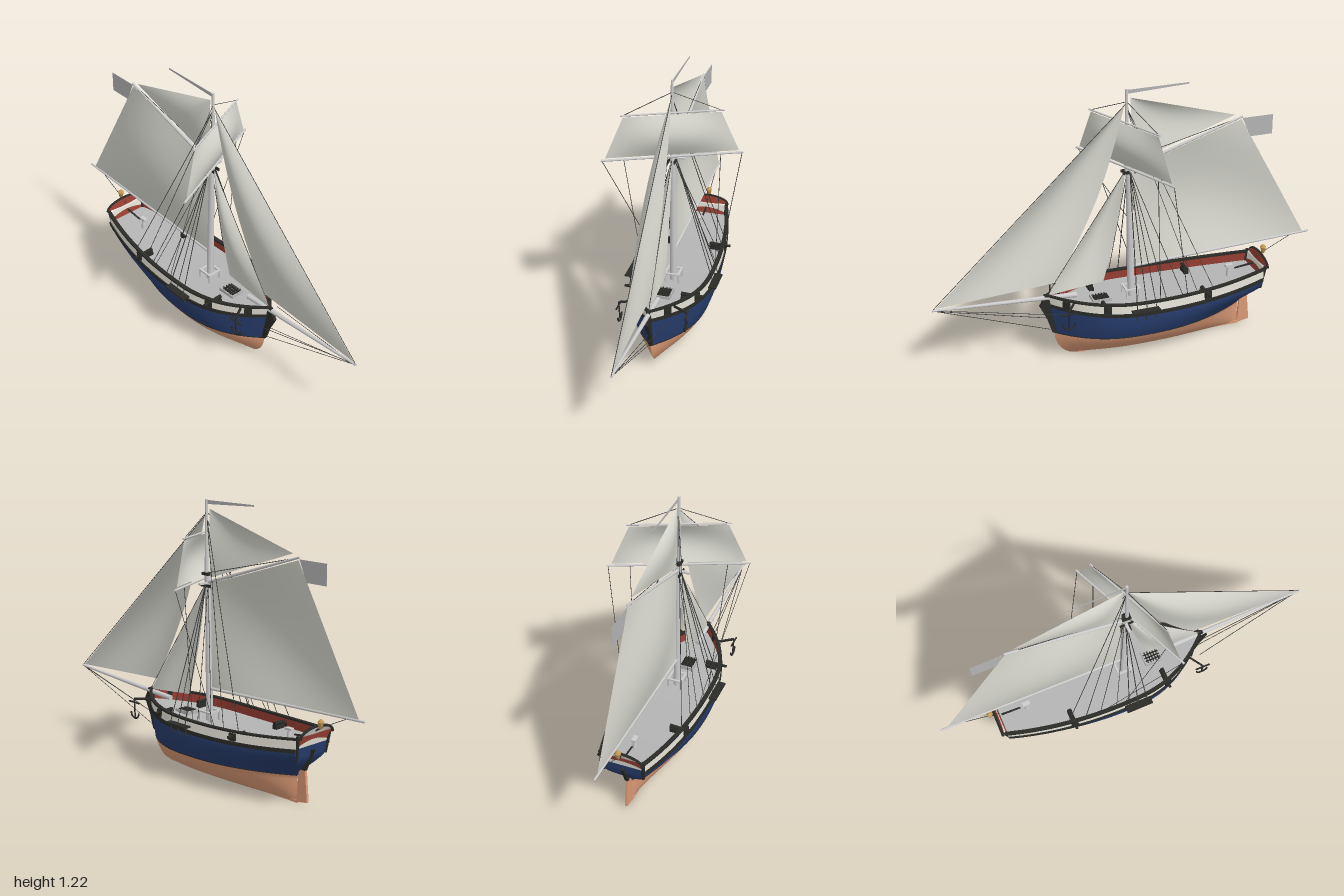
import * as THREE from 'three';

const mat = (color, flat = false) => new THREE.MeshStandardMaterial({ color, side: THREE.DoubleSide, flatShading: flat });
const M = {
  copper: mat(0xdb9a76), blue: mat(0x273c6c), cream: mat(0xe4e1d6), dark: mat(0x2a2a27, true),
  red: mat(0x9a4034), grey: mat(0xcccccc), deck: mat(0xb4b4b4), sail: mat(0xd6d6ce), rope: mat(0x3a3a38), gold: mat(0xc79a55),
};
const V = (x, y, z = 0) => new THREE.Vector3(x, y, z);
const clamp = THREE.MathUtils.clamp, lerp = THREE.MathUtils.lerp;

// Hull form: waterlines between stern and stem at a given level
const beam = l => l < 0.22 ? 0.18 * Math.pow(1 - (1 - l / 0.22) ** 2, 0.62) : 0.18 - 0.1 * (l - 0.22);
const bowX = l => l < 0.12 ? 0.36 + 0.105 * Math.sqrt(1 - (1 - l / 0.12) ** 2) : 0.465 + (l - 0.12) * 0.2;
const sternX = l => -0.42 - 0.072 * THREE.MathUtils.smoothstep(l, 0.11, 0.21) - 0.15 * Math.max(0, l - 0.2);
const sternFull = l => 0.57 * THREE.MathUtils.smoothstep(l, 0.1, 0.23);
const sheer = s => 0.025 * (2 * s - 1) ** 2;
function hullPoint(s, l, side, inset = 0, up = 0) {
  const c = 0.57;
  const plan = s > c ? 1 - ((s - c) / (1 - c)) ** 2.5 : 1 - (1 - sternFull(l)) * ((c - s) / c) ** 2.2;
  return V(lerp(sternX(l), bowX(l), s), l + up + sheer(s) * clamp((l - 0.12) / 0.12, 0, 1),
    side * Math.max(0, beam(l) * plan - inset));
}
const atX = (x, l) => (x - sternX(l)) / (bowX(l) - sternX(l));

// Grid surface from a function of u and v
function surf(nu, nv, f) {
  const pos = [], idx = [];
  for (let i = 0; i <= nu; i++) for (let j = 0; j <= nv; j++) pos.push(...f(i / nu, j / nv).toArray());
  for (let i = 0; i < nu; i++) for (let j = 0; j < nv; j++) {
    const a = i * (nv + 1) + j, b = a + nv + 1;
    idx.push(a, b, a + 1, b, b + 1, a + 1);
  }
  const g = new THREE.BufferGeometry();
  g.setAttribute('position', new THREE.Float32BufferAttribute(pos, 3));
  g.setIndex(idx);
  g.computeVertexNormals();
  return g;
}

export function createModel() {
  const ship = new THREE.Group();
  ship.name = 'sailingShip';
  const add = (name, geo, m, parent = ship) => {
    const mesh = new THREE.Mesh(geo, m);
    mesh.name = name;
    parent.add(mesh);
    return mesh;
  };
  const spar = (name, a, b, r0, r1 = r0, m = M.grey, sides = 10) => {
    const mesh = add(name, new THREE.CylinderGeometry(r1, r0, a.distanceTo(b), sides), m);
    mesh.position.copy(a).lerp(b, 0.5);
    mesh.quaternion.setFromUnitVectors(V(0, 1, 0), b.clone().sub(a).normalize());
    return mesh;
  };
  const rope = (a, b, r = 0.0015) => spar('rope', a, b, r, r, M.rope, 4);
  const box = (name, w, h, d, x, y, z, m) => {
    const mesh = add(name, new THREE.BoxGeometry(w, h, d), m);
    mesh.position.set(x, y, z);
    return mesh;
  };

  // Hull planking, bulwarks and rails
  const band = (name, l0, l1, m, inset, rows) => [1, -1].forEach(side =>
    add(name, surf(48, rows, (u, v) => hullPoint(u, lerp(l0, l1, v), side, inset)), m));
  band('copperBottom', 0, 0.12, M.copper, 0, 14);
  band('blueTopside', 0.12, 0.245, M.blue, 0, 10);
  band('bulwark', 0.245, 0.288, M.cream, 0, 2);
  band('bulwarkLining', 0.24, 0.288, M.red, 0.008, 2);
  const corners = [[-1, -1], [1, -1], [1, 1], [-1, 1], [-1, -1]];
  const moulding = (name, l, w, h, inset) => [1, -1].forEach(side => add(name, surf(48, 4, (u, v) => {
    const [a, b] = corners[Math.round(v * 4)];
    return hullPoint(u, l, side, inset + a * w, b * h);
  }), M.dark));
  moulding('wale', 0.238, 0.005, 0.008, 0);
  moulding('capRail', 0.288, 0.009, 0.004, 0.003);
  moulding('waterlineStrip', 0.12, 0.001, 0.002, 0);
  add('deck', surf(48, 6, (u, v) => hullPoint(u, 0.243, 2 * v - 1, 0.002)
    .setZ(hullPoint(u, 0.243, 1, 0.002).z * (2 * v - 1))), M.deck);

  // Transom and arched taffrail
  const transom = (name, l0, l1, m) => add(name, surf(10, 8, (u, v) => {
    const p = hullPoint(0, lerp(l0, l1, u), 1);
    return p.setZ(p.z * (2 * v - 1));
  }), m);
  transom('lowerTransom', 0, 0.12, M.copper);
  transom('blueTransom', 0.12, 0.245, M.blue);
  transom('upperTransom', 0.245, 0.288, M.cream);
  const edge = hullPoint(0, 0.288, 1);
  const arch = (u, v, dx = 0) => {
    const z = 2 * v - 1;
    return V(edge.x - 0.02 * u + dx, edge.y + u * 0.04 * Math.sqrt(Math.max(0, 1 - z * z)), z * edge.z);
  };
  add('taffrail', surf(4, 24, (u, v) => arch(u, v)), M.cream);
  add('taffrailLining', surf(4, 24, (u, v) => arch(u, v, 0.01).setY(lerp(0.262, arch(1, v).y, u))), M.red);
  const archLine = Array.from({ length: 25 }, (_, i) => arch(1, i / 24, 0.005));
  add('taffrailCap', new THREE.TubeGeometry(new THREE.CatmullRomCurve3(archLine), 40, 0.006, 6), M.dark);
  [1, -1].forEach(s => spar('quarterPost', hullPoint(0, 0.2, s), hullPoint(0, 0.3, s), 0.007, 0.008, M.dark, 6));

  // Stem, keel and rudder plates
  const plate = (name, pts, t, m) => {
    const g = new THREE.ExtrudeGeometry(new THREE.Shape(pts.map(p => new THREE.Vector2(...p))), { depth: t, bevelEnabled: false });
    return add(name, g.translate(0, 0, -t / 2), m);
  };
  plate('stem', [[0.455, 0.12], [0.475, 0.125], [0.495, 0.19], [0.53, 0.262], [0.522, 0.275], [0.505, 0.315], [0.48, 0.315], [0.48, 0.24]], 0.016, M.dark);
  plate('keel', [[-0.425, 0], [0.36, 0], [0.36, 0.012], [-0.425, 0.012]], 0.012, M.copper);
  plate('rudder', [[-0.42, 0.004], [-0.478, 0.014], [-0.465, 0.15], [-0.43, 0.15]], 0.012, M.copper);
  plate('rudderStock', [[-0.465, 0.15], [-0.43, 0.15], [-0.495, 0.25], [-0.51, 0.25]], 0.014, M.dark);

  // Spars
  spar('lowerMast', V(0.105, 0.24), V(0.118, 0.9), 0.016, 0.012);
  spar('topmast', V(0.125, 0.84), V(0.125, 1.215), 0.009, 0.006);
  spar('bowsprit', V(0.36, 0.292), V(1, 0.33), 0.012, 0.005);
  spar('boom', V(0.095, 0.388), V(-0.765, 0.422), 0.007, 0.005);
  spar('gaff', V(0.11, 0.86), V(-0.41, 1.028), 0.008, 0.005);
  const yardPoint = (t, y, ahead = 0) => V(0.128 + 0.44 * t + 0.914 * ahead, y, t - 0.406 * ahead);
  spar('lowerYard', yardPoint(-0.28, 0.872, 0.012), yardPoint(0.28, 0.872, 0.012), 0.005);
  spar('upperYard', yardPoint(-0.2, 1.073, 0.012), yardPoint(0.2, 1.073, 0.012), 0.004);
  box('mastCap', 0.04, 0.012, 0.03, 0.12, 0.895, 0, M.dark);
  box('crosstreeBeam', 0.012, 0.008, 0.11, 0.115, 0.856, 0, M.grey);
  [-0.014, 0.014].forEach(z => box('trestleTree', 0.06, 0.012, 0.006, 0.118, 0.845, z, M.dark));

  // Sails: bilinear patches with belly and optional hollow edge
  const sail = (name, a, b, c, d, belly, hollow = V(0, 0)) => add(name, surf(20, 20, (u, v) =>
    a.clone().lerp(b, u).lerp(d.clone().lerp(c, u), v)
      .addScaledVector(belly, Math.sin(Math.PI * u) * Math.sin(Math.PI * v))
      .addScaledVector(hollow, (1 - u) * Math.sin(Math.PI * v))), M.sail);
  sail('mainsail', V(-0.405, 1.016), V(0.098, 0.855), V(0.09, 0.395), V(-0.735, 0.425), V(0, 0, 0.045));
  sail('gaffTopsail', V(0.108, 1.176), V(0.108, 1.176), V(0.1, 0.88), V(-0.375, 1.04), V(0, 0, 0.025));
  sail('jib', V(0.135, 1.145), V(0.135, 1.145), V(0.985, 0.337), V(0.45, 0.366), V(0, 0, 0.045), V(-0.035, -0.01));
  sail('staysail', V(0.13, 0.855), V(0.13, 0.855), V(0.49, 0.31), V(0.235, 0.335), V(0, 0, 0.03), V(-0.012, 0));
  sail('squareTopsail', yardPoint(-0.19, 1.065, 0.012), yardPoint(0.19, 1.065, 0.012),
    yardPoint(0.262, 0.882, 0.012), yardPoint(-0.262, 0.882, 0.012), V(0.03, 0, -0.013));
  plate('ensign', [[-0.41, 1.02], [-0.555, 1.02], [-0.555, 0.93], [-0.45, 0.93]], 0.001, M.deck);
  plate('pennant', [[0.12, 1.212], [-0.155, 1.214], [-0.155, 1.207], [0.12, 1.195]], 0.001, M.deck);

  // Rigging
  rope(V(0.13, 1.15), V(0.995, 0.335));
  rope(V(0.125, 0.86), V(0.5, 0.305));
  rope(V(0.985, 0.325), V(0.5, 0.2));
  rope(V(0.985, 0.325), V(0.485, 0.14));
  rope(V(-0.68, 0.418), V(-0.5, 0.33));
  rope(V(-0.4, 1.025), V(0.115, 0.9));
  for (const s of [1, -1]) {
    rope(V(0.985, 0.328), V(0.46, 0.25, s * 0.08));
    [0.055, 0.1, 0.145].forEach(x => rope(V(0.115, 0.86, s * 0.012), V(x, 0.27, s * 0.195), 0.002));
    [-0.23, -0.15].forEach(x => rope(V(0.122, 1.13), hullPoint(atX(x, 0.285), 0.285, s)));
    [-0.08, 0].forEach(x => rope(V(0.115, 0.86), hullPoint(atX(x, 0.285), 0.285, s)));
    rope(yardPoint(s * 0.275, 0.872, 0.012), hullPoint(atX(-0.1, 0.285), 0.285, s));
    rope(yardPoint(s * 0.19, 1.073, 0.012), V(0.125, 1.16));
    rope(yardPoint(s * 0.19, 0.872, 0.012), hullPoint(atX(0.03, 0.285), 0.285, s));

    // Channels, gun ports, guns and anchors on each side
    box('channel', 0.125, 0.007, 0.035, 0.103, 0.262, s * 0.193, M.dark);
    [0.055, 0.1, 0.145].forEach(x => rope(V(x, 0.262, s * 0.2), V(x, 0.215, s * 0.181), 0.0025));
    [-0.2, 0.265, 0.425].forEach((x, i) => {
      const p = hullPoint(atX(x, 0.265), 0.265, s);
      const port = box('gunPort', 0.034, 0.032, 0.014, x, p.y, p.z, M.dark);
      port.rotation.y = s * [-0.2, 0.28, 0.85][i];
      if (i < 2) {
        spar('gunBarrel', V(x, p.y + 0.004, p.z - s * 0.07), V(x, p.y + 0.004, p.z + s * 0.028), 0.009, 0.006, M.dark);
        box('gunCarriage', 0.022, 0.018, 0.05, x, 0.257, p.z - s * 0.045, M.dark);
      }
    });
    const tip = V(0.44, 0.3, s * 0.15);
    spar('cathead', V(0.4, 0.295, s * 0.085), tip, 0.006, 0.006, M.dark, 4);
    spar('anchorShank', tip, V(0.44, 0.21, s * 0.145), 0.0035, 0.0035, M.dark, 6);
    spar('anchorStock', V(0.405, 0.285, s * 0.15), V(0.475, 0.285, s * 0.15), 0.004, 0.004, M.dark, 6);
    const arms = add('anchorArms', new THREE.TorusGeometry(0.026, 0.004, 6, 14, Math.PI), M.dark);
    arms.position.set(0.44, 0.236, s * 0.146);
    arms.rotation.z = Math.PI;
  }

  // Deck fittings
  for (const x of [0.075, 0.135]) for (const z of [-0.03, 0.03]) box('bittPost', 0.008, 0.045, 0.008, x, 0.267, z, M.grey);
  for (const k of [-1, 1]) {
    box('bittRail', 0.075, 0.007, 0.01, 0.105, 0.285, k * 0.03, M.grey);
    box('bittRail', 0.01, 0.007, 0.07, 0.105 + k * 0.03, 0.285, 0, M.grey);
    box('hatchCoaming', 0.084, 0.02, 0.006, 0.25, 0.254, k * 0.031, M.deck);
    box('hatchCoaming', 0.006, 0.02, 0.068, 0.25 + k * 0.039, 0.254, 0, M.deck);
  }
  for (let i = -2; i <= 2; i++) box('gratingBar', 0.004, 0.008, 0.06, 0.25 + i * 0.013, 0.26, 0, M.dark);
  for (let i = -1; i <= 1; i++) box('gratingBar', 0.078, 0.008, 0.004, 0.25, 0.26, i * 0.015, M.dark);
  spar('binnacle', V(-0.37, 0.245, 0.0), V(-0.37, 0.305, 0.0), 0.013, 0.008);
  box('binnacleTop', 0.035, 0.01, 0.02, -0.37, 0.308, 0, M.grey);
  spar('tiller', V(-0.49, 0.3), V(-0.4, 0.29), 0.005, 0.004, M.dark, 6);

  // Stern lantern
  spar('lanternBracket', V(-0.51, 0.33), V(-0.54, 0.348), 0.004, 0.004, M.dark, 6);
  const profile = [[0, 0], [0.008, 0], [0.013, 0.026], [0.015, 0.028], [0.006, 0.038], [0, 0.042]];
  add('sternLantern', new THREE.LatheGeometry(profile.map(p => new THREE.Vector2(...p)), 8), M.gold).position.set(-0.54, 0.346, 0);
  return ship;
}
